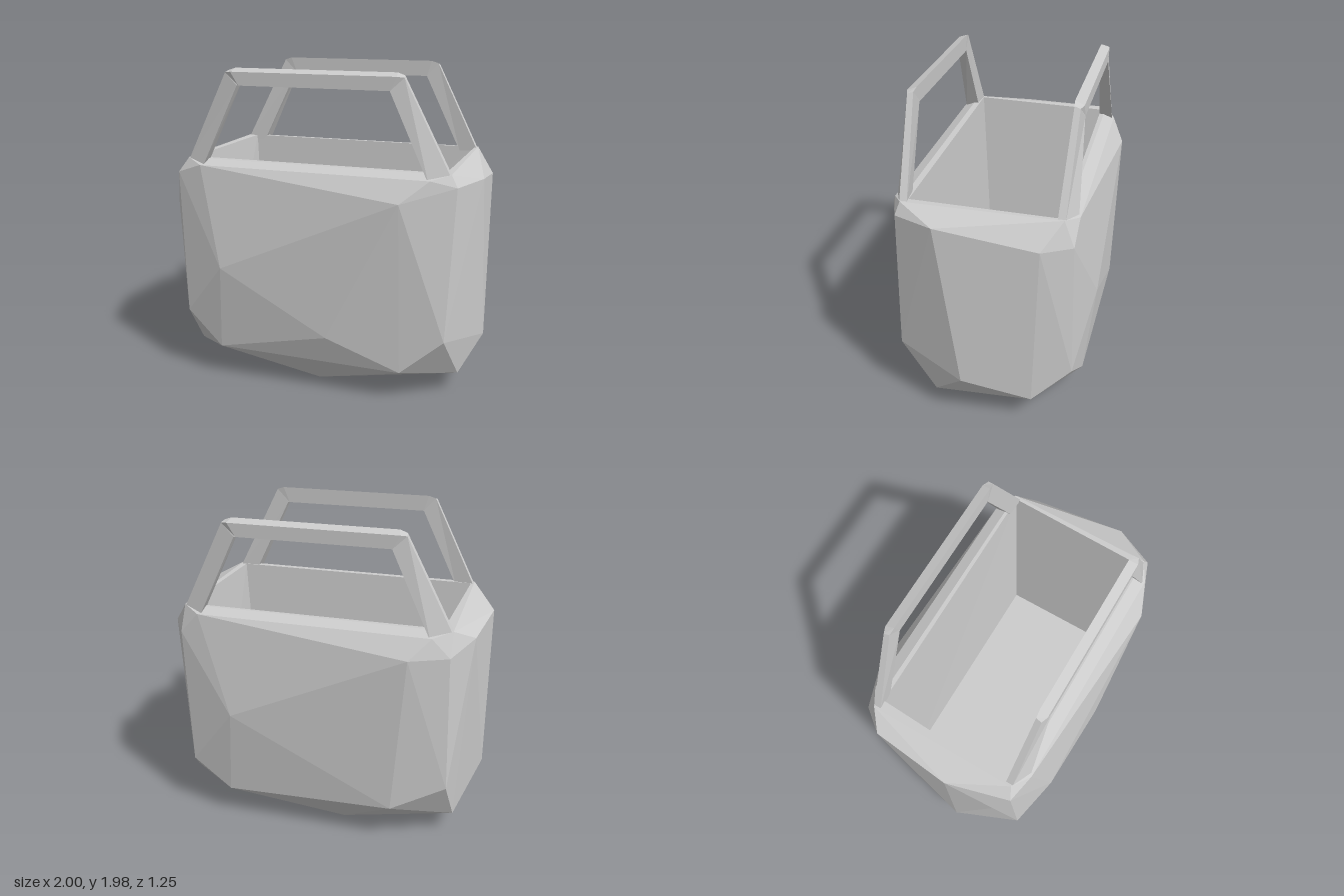
import * as THREE from 'three';
import { ConvexGeometry } from 'three/addons/geometries/ConvexGeometry.js';

const material = new THREE.MeshStandardMaterial({ color: 0xcccccc, flatShading: true });
const RIM = 1.42;
// Corners of the opening and of the floor inside, seen from above (x, z).
const OPENING = [[0.79, 0.43], [0.81, -0.45], [-0.77, -0.44], [-0.81, 0.43]];
const FLOOR = [[0.7, 0.36], [0.7, -0.38], [-0.7, -0.38], [-0.7, 0.36]];

function addMesh(parent, name, geometry) {
  const mesh = new THREE.Mesh(geometry, material);
  mesh.name = name;
  parent.add(mesh);
  return mesh;
}

// Skins four-cornered loops and caps the last one.
function loft(loops) {
  const index = [];
  for (let i = 0; i < loops.length - 1; i++) {
    for (let j = 0; j < 4; j++) {
      const a = i * 4 + j, b = i * 4 + (j + 1) % 4;
      index.push(a, b, b + 4, a, b + 4, a + 4);
    }
  }
  const e = (loops.length - 1) * 4;
  index.push(e, e + 1, e + 2, e, e + 2, e + 3);
  const g = new THREE.BufferGeometry();
  g.setAttribute('position', new THREE.Float32BufferAttribute(loops.flat(2), 3));
  g.setIndex(index);
  const flat = g.toNonIndexed();
  flat.computeVertexNormals();
  return flat;
}

// Faceted hull with the flat top left off so that it is an open container.
function shellGeometry() {
  const points = [
    // front panel
    [0.12, 0.39, 0.62], [-0.57, 0.76, 0.62], [0.56, 1.26, 0.62],
    [0.57, 0.2, 0.56], [-0.61, 0.21, 0.56],
    // back panel
    [0.5, 0.77, -0.63], [-0.6, 1.27, -0.62], [0.55, 0.2, -0.57], [-0.52, 0.26, -0.6],
    // front corners
    [0.83, 0.42, 0.53], [0.87, 1.35, 0.49], [-0.85, 0.42, 0.53], [-0.95, 1.11, 0.41], [-0.89, 1.33, 0.5],
    // back corners
    [0.81, 0.37, -0.54], [0.84, 1.26, -0.53], [-0.85, 0.42, -0.53], [-0.83, 1.28, -0.54],
    // left end
    [1, 0.33, 0.1], [0.98, 1.36, 0.24], [0.95, 1.27, -0.36], [0.88, 0.13, 0.3], [0.9, 0.18, -0.31],
    // right end
    [-1, 0.28, 0.12], [-1, 1.36, 0.12], [-0.95, 1.36, -0.38], [-0.88, 0.13, 0.3], [-0.88, 0.14, -0.36],
    // diamond-shaped base
    [0, 0, 0.38], [0.57, 0, -0.04], [-0.17, 0, -0.38], [-0.57, 0, 0],
  ].map((p) => new THREE.Vector3(...p));
  // rim corners and the lower points under the handles
  for (const sx of [-1, 1]) for (const sz of [-1, 1]) {
    points.push(new THREE.Vector3(0.83 * sx, RIM, 0.47 * sz));
    points.push(new THREE.Vector3(0.72 * sx, 1.39, 0.54 * sz));
  }
  const p = new ConvexGeometry(points).attributes.position;
  const kept = [];
  for (let i = 0; i < p.count; i += 3) {
    if (Math.min(p.getY(i), p.getY(i + 1), p.getY(i + 2)) > RIM - 0.01) continue;
    for (let k = i; k < i + 3; k++) kept.push(p.getX(k), p.getY(k), p.getZ(k));
  }
  const g = new THREE.BufferGeometry();
  g.setAttribute('position', new THREE.Float32BufferAttribute(kept, 3));
  g.computeVertexNormals();
  return g;
}

// Flat lip between the hull and the opening.
function rimGeometry() {
  const v = (x, z) => new THREE.Vector2(x, -z);
  const shape = new THREE.Shape([v(0.83, 0.47), v(0.83, -0.47), v(-0.83, -0.47), v(-0.83, 0.47)]);
  shape.holes.push(new THREE.Path(OPENING.map(([x, z]) => v(x, z))));
  return new THREE.ShapeGeometry(shape).rotateX(-Math.PI / 2).translate(0, RIM, 0);
}

function liningGeometry() {
  return loft([
    OPENING.map(([x, z]) => [x, RIM, z]),
    FLOOR.map(([x, z]) => [x, 0.2, z]),
  ]);
}

// Trapezoid bar, four corners per station: inner face, then outer face.
function handleGeometry() {
  const half = [
    // foot
    [[0.71, 1.37, 0.53], [0.71, 1.39, 0.44], [0.83, 1.4, 0.43], [0.83, 1.4, 0.475]],
    // bend
    [[0.47, 1.88, 0.505], [0.47, 1.88, 0.45], [0.545, 1.965, 0.455], [0.55, 1.955, 0.49]],
    // start of the top bar
    [[0.46, 1.88, 0.505], [0.46, 1.88, 0.45], [0.5, 1.98, 0.45], [0.51, 1.96, 0.505]],
  ];
  const mirrored = half.map((loop) => loop.map(([x, y, z]) => [-x, y, z]));
  return loft([...mirrored, ...half.reverse()]);
}

export function createModel() {
  const bag = new THREE.Group();
  bag.name = 'bag';
  addMesh(bag, 'body', shellGeometry());
  addMesh(bag, 'rim', rimGeometry());
  addMesh(bag, 'lining', liningGeometry());
  const handle = handleGeometry();
  addMesh(bag, 'frontHandle', handle);
  addMesh(bag, 'backHandle', handle).rotation.y = Math.PI;
  return bag;
}
